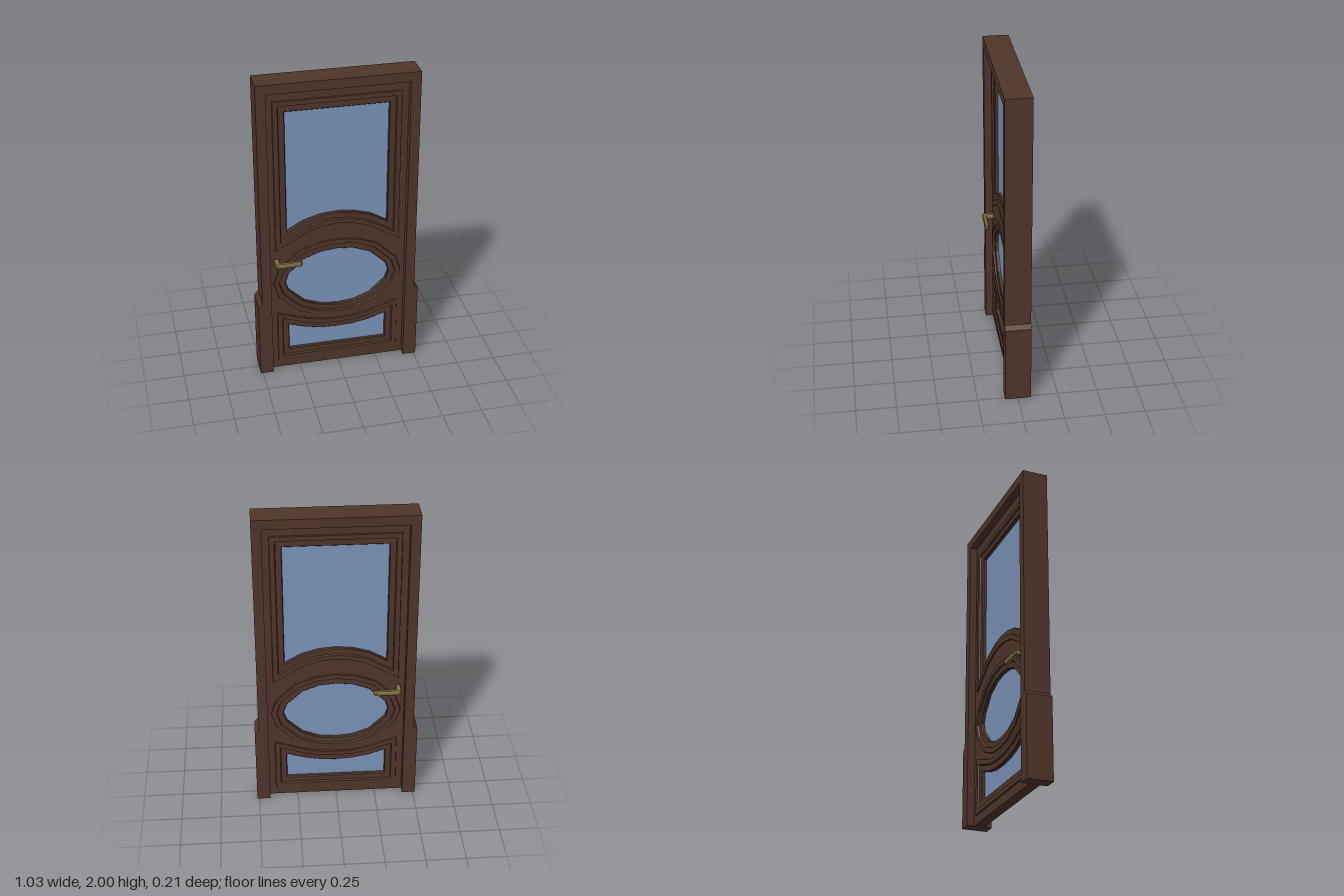
import * as THREE from 'three';

const material = (color) => new THREE.MeshStandardMaterial({ color, flatShading: true });
const wood = material(0x4f352a);
const glassBlue = material(0x7a94b9);
const brass = material(0x7d7040);

const vec = (list) => list.map(([x, y]) => new THREE.Vector2(x, y));

function part(name, geometry, mat, parent) {
  const mesh = new THREE.Mesh(geometry, mat);
  mesh.name = name;
  parent.add(mesh);
  return mesh;
}

// Plate centred on z = 0, with optional holes
function plate(points, depth, holes = []) {
  const shape = new THREE.Shape(points);
  holes.forEach((h) => shape.holes.push(new THREE.Path(h)));
  const g = new THREE.ExtrudeGeometry(shape, { depth, bevelEnabled: false });
  return g.translate(0, 0, -depth / 2);
}

// Grow a counter-clockwise outline by d with mitred corners
function grow(points, d) {
  const n = points.length;
  return points.map((p, i) => {
    const a = p.clone().sub(points[(i + n - 1) % n]).normalize();
    const b = points[(i + 1) % n].clone().sub(p).normalize();
    const na = new THREE.Vector2(a.y, -a.x);
    const nb = new THREE.Vector2(b.y, -b.x);
    const m = na.clone().add(nb);
    return p.clone().addScaledVector(m, d / (1 + na.dot(nb)));
  });
}

// Sweep a moulding profile of [offset, z] around an outline
function moulding(outline, profile) {
  const n = outline.length;
  const pos = [];
  const index = [];
  profile.forEach(([d, z], j) => {
    grow(outline, d).forEach((p, i) => {
      pos.push(p.x, p.y, z);
      if (j === profile.length - 1) return;
      const a = j * n + i;
      const b = j * n + ((i + 1) % n);
      index.push(a, b, b + n, a, b + n, a + n);
    });
  });
  const g = new THREE.BufferGeometry();
  g.setAttribute('position', new THREE.Float32BufferAttribute(pos, 3));
  g.setIndex(index);
  g.computeVertexNormals();
  return g;
}

export function createModel() {
  const door = new THREE.Group();
  door.name = 'door';

  // Frame with wider plinth feet, open at the bottom
  const half = [[0.43, 0], [0.515, 0], [0.515, 0.505], [0.49, 0.53], [0.49, 2]];
  const mirrored = half.map(([x, y]) => [-x, y]).reverse();
  const frame = vec([...half, ...mirrored, [-0.43, 1.94], [0.43, 1.94]]);
  part('frame', plate(frame, 0.16), wood, door);

  // Outlines of the three glazed openings, counter-clockwise
  const upper = vec([
    [-0.315, 1.0], [-0.21, 1.06], [-0.105, 1.09], [0, 1.1],
    [0.105, 1.09], [0.21, 1.06], [0.315, 1.0], [0.315, 1.8], [-0.315, 1.8],
  ]);
  const lower = vec([
    [-0.315, 0.13], [0.315, 0.13], [0.315, 0.315], [0.21, 0.28], [0.105, 0.26],
    [0, 0.255], [-0.105, 0.26], [-0.21, 0.28], [-0.315, 0.315],
  ]);
  const quarter = [[0.33, 0], [0.31, 0.06], [0.21, 0.155], [0.105, 0.195], [0, 0.205]];
  const topHalf = [...quarter, ...quarter.slice(0, 4).reverse().map(([x, y]) => [-x, y])];
  const oval = vec([...topHalf, ...topHalf.slice(1, -1).reverse().map(([x, y]) => [x, -y])])
    .map((p) => p.add(new THREE.Vector2(0, 0.635)));
  const openings = { upper, oval, lower };

  // Door leaf, set back from both faces of the frame
  const leaf = vec([[-0.43, 0], [0.43, 0], [0.43, 1.94], [-0.43, 1.94]]);
  const holes = Object.values(openings).map((o) => grow(o, 0.07));
  part('leaf', plate(leaf, 0.066, holes), wood, door);

  // Stepped mouldings, the same on both faces, around each pane
  const front = [
    [0.075, 0.033], [0.072, 0.041], [0.043, 0.041], [0.038, 0.03], [0.004, 0.03], [0, 0.025],
  ];
  const profile = [...front, ...front.slice().reverse().map(([d, z]) => [d, -z])];
  for (const [name, outline] of Object.entries(openings)) {
    part(`${name}Moulding`, moulding(outline, profile), wood, door);
    part(`${name}Glass`, plate(grow(outline, 0.002), 0.016), glassBlue, door);
  }

  // Lever handles: plan outline in x and z, extruded upwards with a bevel
  const plan = new THREE.Shape(vec([
    [-0.4, 0.03], [-0.376, 0.03], [-0.376, 0.083], [-0.246, 0.083],
    [-0.235, 0.088], [-0.235, 0.092], [-0.246, 0.1], [-0.392, 0.1], [-0.4, 0.094],
  ]));
  const lever = new THREE.ExtrudeGeometry(plan, {
    depth: 0.018, bevelEnabled: true, bevelThickness: 0.006, bevelSize: 0.004, bevelSegments: 1,
  });
  lever.translate(0, 0, -0.009).rotateX(Math.PI / 2);
  for (const [name, turn] of [['frontHandle', 0], ['backHandle', Math.PI]]) {
    const handle = part(name, lever, brass, door);
    handle.position.y = 0.8;
    handle.rotation.x = turn;
  }

  return door;
}
